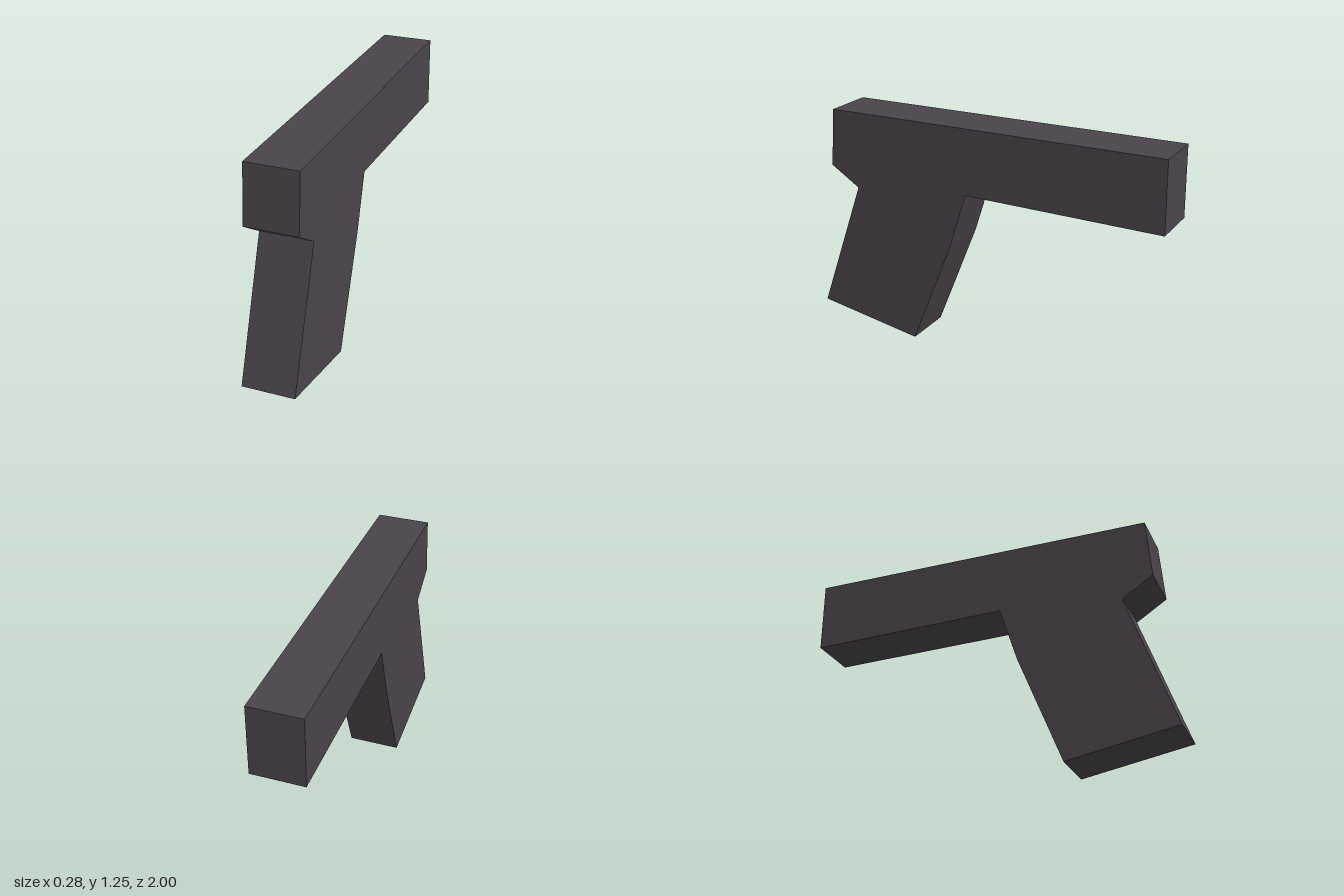
import * as THREE from 'three';

export function createModel() {
  const group = new THREE.Group();
  const darkGrey = new THREE.MeshStandardMaterial({ color: 0x4a444a });
  darkGrey.name = 'darkGrey';

  // Side outline as (z, y): barrel block on top, slanted grip below
  const outline = [
    [1, 0.105], [0.41, 0], [0.175, 0.59], [0.08, 0.89],
    [-1, 0.87], [-0.995, 1.25], [0.885, 1.245], [0.91, 0.93], [0.745, 0.825],
  ];
  const shape = new THREE.Shape(outline.map(([z, y]) => new THREE.Vector2(z, y)));

  // Flat slab of constant width, turned so the outline runs along z
  const width = 0.28;
  const geometry = new THREE.ExtrudeGeometry(shape, { depth: width, bevelEnabled: false });
  geometry.translate(0, 0, -width / 2);
  geometry.rotateY(-Math.PI / 2);

  const body = new THREE.Mesh(geometry, darkGrey);
  body.name = 'barrelAndGrip';
  group.add(body);
  return group;
}
